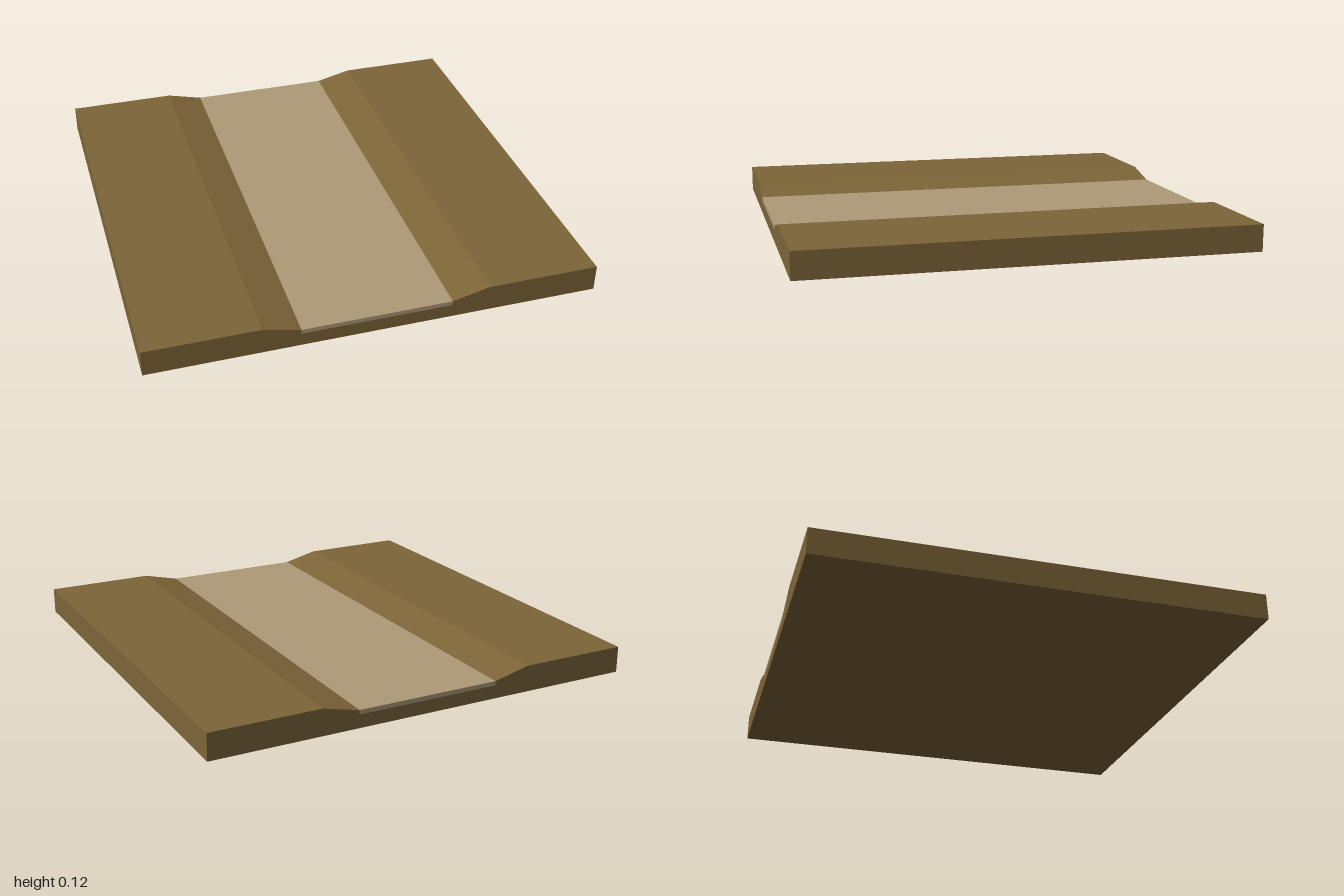
import * as THREE from 'three';

const LENGTH = 2;
const PATH_HALF = 0.333;
const BED_Y = 0.06;
const PATH_Y = 0.08;
const TOP_Y = 0.12;

// Extrudes a front outline along the full depth, centred on z = 0
function strip(name, points, color) {
  const shape = new THREE.Shape(points.map(([x, y]) => new THREE.Vector2(x, y)));
  const geometry = new THREE.ExtrudeGeometry(shape, { depth: LENGTH, bevelEnabled: false });
  geometry.translate(0, 0, -LENGTH / 2);
  const mesh = new THREE.Mesh(geometry, new THREE.MeshStandardMaterial({ color }));
  mesh.name = name;
  return mesh;
}

export function createModel() {
  const group = new THREE.Group();
  group.name = 'pathTile';

  // Earth slab: flat banks sloping down to a sunken bed
  const rightHalf = [[1, 0], [1, TOP_Y], [0.5, TOP_Y], [PATH_HALF, PATH_Y], [PATH_HALF, BED_Y]];
  const leftHalf = rightHalf.map(([x, y]) => [-x, y]).reverse();
  group.add(strip('ground', [...rightHalf, ...leftHalf], 0x7d6538));

  // Pale path lying in the bed
  group.add(strip('path', [
    [-PATH_HALF, BED_Y], [PATH_HALF, BED_Y], [PATH_HALF, PATH_Y], [-PATH_HALF, PATH_Y],
  ], 0xad9a77));

  return group;
}
